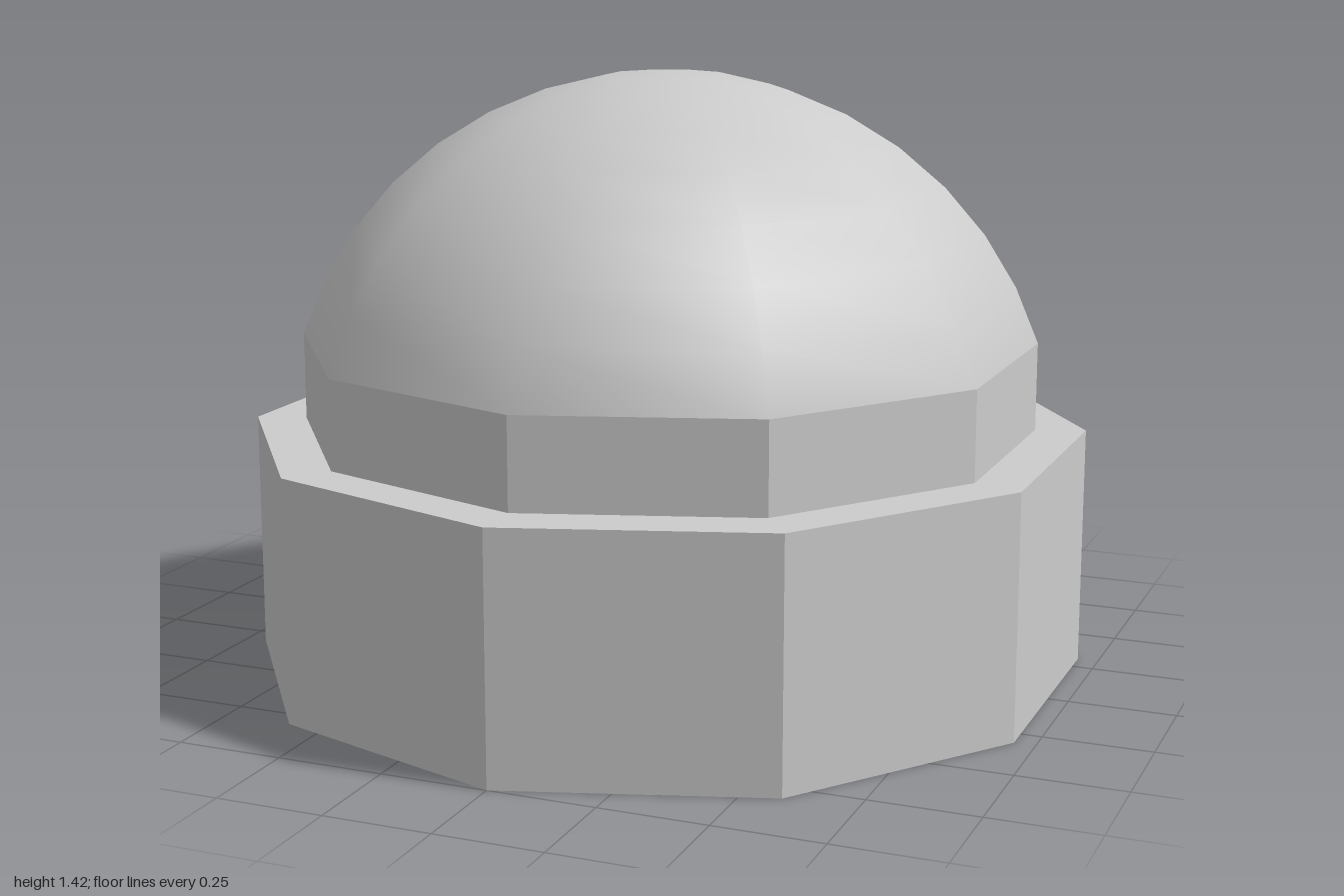
import * as THREE from 'three';

const SIDES = 10;
const STEP = (Math.PI * 2) / SIDES;
const BASE_R = 1, BASE_H = 0.57;
const DRUM_R = 0.88, DRUM_TOP = 0.78;
const DOOR_HALF = 0.232, DOOR_H = 0.43, DOOR_DEPTH = 0.046;

const flat = new THREE.MeshStandardMaterial({ color: 0xcccccc, flatShading: true, side: THREE.DoubleSide });
const smooth = new THREE.MeshStandardMaterial({ color: 0xcccccc, side: THREE.DoubleSide });

function add(parent, name, geometry, material = flat) {
  const mesh = new THREE.Mesh(geometry, material);
  mesh.name = name;
  parent.add(mesh);
  return mesh;
}

// One wall bay with a doorway cut in it and a shallow recess behind
function createDoorBay() {
  const bay = new THREE.Group();
  bay.name = 'doorBay';
  const half = BASE_R * Math.sin(STEP / 2);
  const front = BASE_R * Math.cos(STEP / 2);

  const outline = [
    [-half, 0], [-DOOR_HALF, 0], [-DOOR_HALF, DOOR_H], [DOOR_HALF, DOOR_H],
    [DOOR_HALF, 0], [half, 0], [half, BASE_H], [-half, BASE_H],
  ].map(([x, y]) => new THREE.Vector2(x, y));
  add(bay, 'doorWall', new THREE.ShapeGeometry(new THREE.Shape(outline))).position.z = front;

  add(bay, 'doorPanel', new THREE.PlaneGeometry(DOOR_HALF * 2, DOOR_H))
    .position.set(0, DOOR_H / 2, front - DOOR_DEPTH);

  const middle = front - DOOR_DEPTH / 2;
  for (const side of [-1, 1]) {
    const jamb = add(bay, 'doorJamb', new THREE.PlaneGeometry(DOOR_DEPTH, DOOR_H));
    jamb.rotation.y = -side * Math.PI / 2;
    jamb.position.set(side * DOOR_HALF, DOOR_H / 2, middle);
  }
  // Lintel faces down, threshold closes the recess at ground level
  for (const [name, y, turn] of [['doorLintel', DOOR_H, 1], ['doorThreshold', 0, -1]]) {
    const strip = add(bay, name, new THREE.PlaneGeometry(DOOR_HALF * 2, DOOR_DEPTH));
    strip.rotation.x = turn * Math.PI / 2;
    strip.position.set(0, y, middle);
  }
  bay.rotation.y = Math.PI - STEP / 2;
  return bay;
}

export function createModel() {
  const model = new THREE.Group();
  model.name = 'observatory';

  // Nine plain wall bays, open underneath, and the door bay at the back
  add(model, 'baseWall', new THREE.CylinderGeometry(
    BASE_R, BASE_R, BASE_H, SIDES - 1, 1, true, Math.PI, STEP * (SIDES - 1),
  )).position.y = BASE_H / 2;
  model.add(createDoorBay());

  // Flat ledge between the base and the drum
  const ledge = add(model, 'ledge', new THREE.RingGeometry(DRUM_R, BASE_R, SIDES, 1, Math.PI / 2));
  ledge.rotation.x = -Math.PI / 2;
  ledge.position.y = BASE_H;

  // Drum
  add(model, 'drum', new THREE.CylinderGeometry(DRUM_R, DRUM_R, DRUM_TOP - BASE_H, SIDES, 1, true))
    .position.y = (DRUM_TOP + BASE_H) / 2;

  // Smooth ten-sided dome, a spherical cap resting on the drum
  const capAngle = Math.PI * 0.4;
  const domeR = DRUM_R / Math.sin(capAngle);
  add(model, 'dome', new THREE.SphereGeometry(domeR, SIDES, 8, Math.PI / 2, Math.PI * 2, 0, capAngle), smooth)
    .position.y = DRUM_TOP - domeR * Math.cos(capAngle);

  return model;
}
